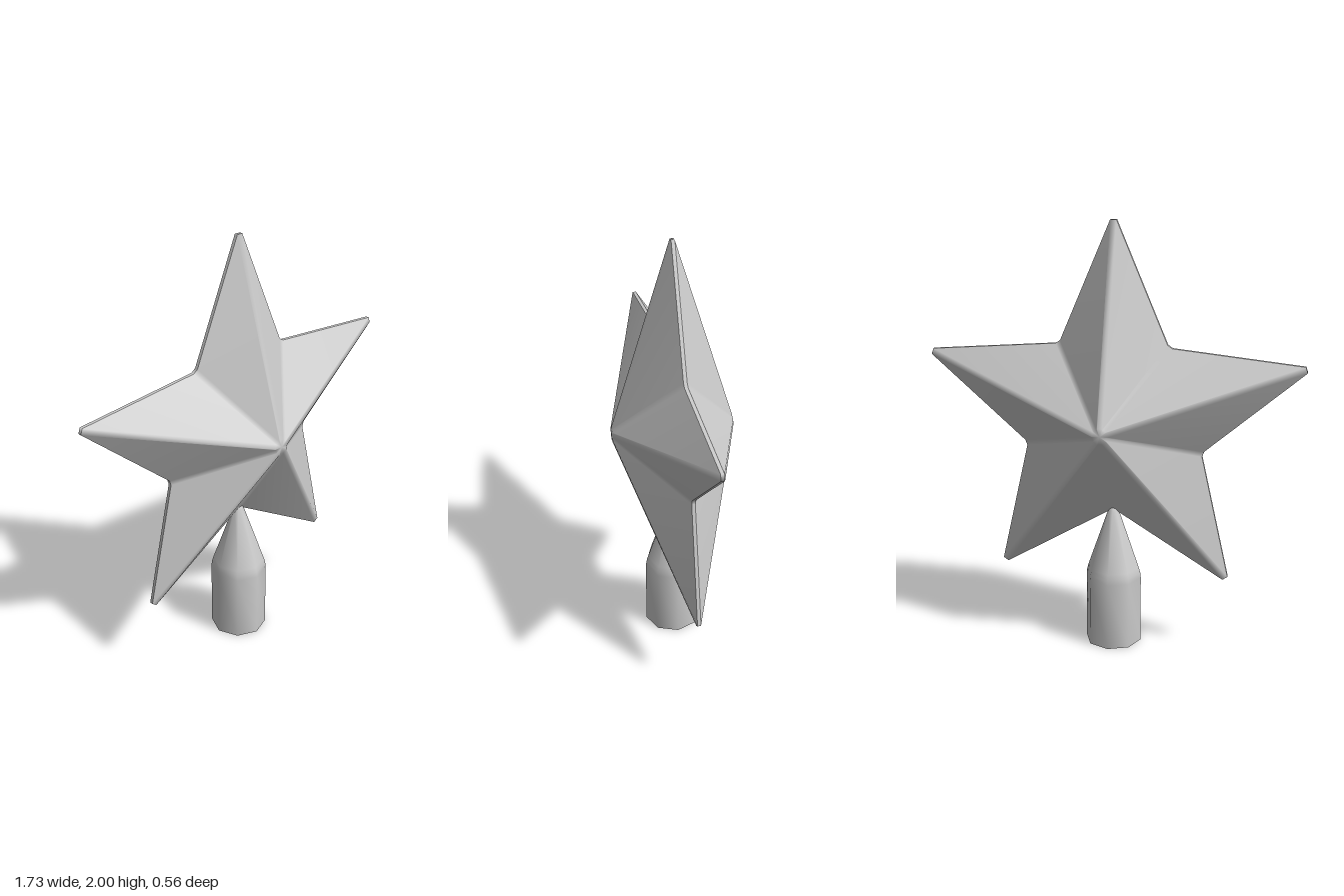
import * as THREE from 'three';
import { mergeVertices } from 'three/addons/utils/BufferGeometryUtils.js';

const STAR_Y = 1.095, RIM = 0.008, APEX = 0.278;

// Loop of 20 points: every tip and notch is a narrow pair, giving bevelled ridges and valleys
function starLoop(tipR, tipHalf, notchR, notchHalf, z) {
  const points = [];
  for (let i = 0; i < 10; i++) {
    const a = Math.PI / 2 + (i * Math.PI) / 5;
    const r = i % 2 ? notchR : tipR;
    const half = i % 2 ? notchHalf : tipHalf;
    for (const s of [-half, half]) {
      points.push([r * Math.cos(a) - s * Math.sin(a), r * Math.sin(a) + s * Math.cos(a), z]);
    }
  }
  return points;
}

const outline = (z) => starLoop(0.905, 0.014, 0.437, 0.013, z);
const hub = (z) => starLoop(0.036, 0.011, 0.034, 0.008, z);

// Skin between two loops, with an optional centre point closing the second loop
function skin(outer, inner, centre) {
  const n = outer.length, index = [];
  const points = [...outer, ...inner];
  if (centre) points.push(centre);
  for (let i = 0; i < n; i++) {
    const j = (i + 1) % n;
    index.push(i, j, n + j, i, n + j, n + i);
    if (centre) index.push(n + i, n + j, 2 * n);
  }
  const g = new THREE.BufferGeometry();
  g.setAttribute('position', new THREE.Float32BufferAttribute(points.flat(), 3));
  g.setIndex(index);
  g.computeVertexNormals(); // area weighted, so broad facets stay flat
  return g;
}

export function createModel() {
  const root = new THREE.Group();
  root.name = 'starTreeTopper';
  const material = new THREE.MeshStandardMaterial({ color: 0xcccccc });
  const add = (parent, name, geometry) => {
    const mesh = new THREE.Mesh(geometry, material);
    mesh.name = name;
    parent.add(mesh);
    return mesh;
  };

  // Five-pointed star: two faceted halves and a thin rim
  const star = new THREE.Group();
  star.name = 'star';
  star.position.y = STAR_Y;
  root.add(star);
  const half = skin(outline(RIM), hub(APEX), [0, 0, APEX + 0.002]);
  add(star, 'starFront', half);
  add(star, 'starBack', half).rotation.y = Math.PI;
  add(star, 'starRim', skin(outline(-RIM), outline(RIM)));

  // Eight-sided socket, tapering into a blunt cone
  const profile = [[0.132, 0], [0.132, 0.325], [0.129, 0.35], [0.122, 0.375],
    [0.026, 0.655], [0.015, 0.675], [0, 0.681]].map(([x, y]) => new THREE.Vector2(x, y));
  let socket = new THREE.LatheGeometry(profile, 8);
  socket.deleteAttribute('uv');
  socket.deleteAttribute('normal');
  socket = mergeVertices(socket);
  socket.computeVertexNormals();
  add(root, 'socket', socket);

  // Flat underside of the socket
  add(root, 'socketBase', new THREE.CircleGeometry(0.132, 8)).rotation.x = Math.PI / 2;

  return root;
}
